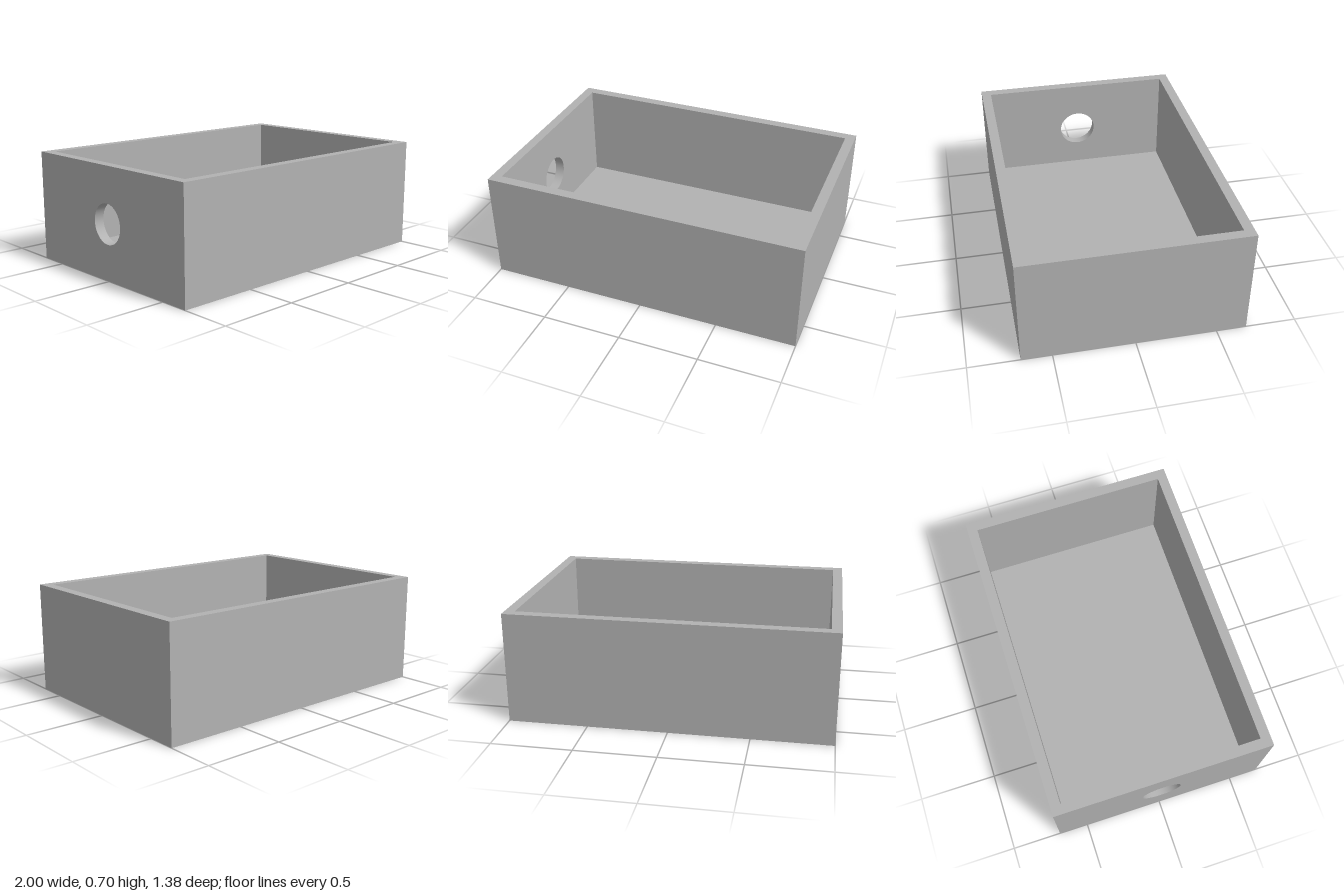
import * as THREE from 'three';

const W = 2, D = 1.375, H = 0.7;   // outer size
const T = 0.0625;                  // wall and floor thickness
const HOLE_R = 0.125, HOLE_Y = H / 2;

const grey = new THREE.MeshStandardMaterial({ color: 0xb2b2b2 });
grey.name = 'grey';

function mesh(name, geometry) {
  const m = new THREE.Mesh(geometry, grey);
  m.name = name;
  return m;
}

function rectangle(Type, w, y0, y1) {
  return new Type([
    new THREE.Vector2(-w / 2, y0), new THREE.Vector2(w / 2, y0),
    new THREE.Vector2(w / 2, y1), new THREE.Vector2(-w / 2, y1),
  ]);
}

// Flat face towards +z, with an optional round hole
function face(w, y0, y1, hole) {
  const shape = rectangle(THREE.Shape, w, y0, y1);
  if (hole) shape.holes.push(new THREE.Path().absarc(0, HOLE_Y, HOLE_R, 0, Math.PI * 2, true));
  return new THREE.ShapeGeometry(shape, 24);
}

// One side wall: outer face, inner face and, if pierced, the lining of the hole
function wall(name, angle, span, dist, hole = false) {
  const group = new THREE.Group();
  group.name = name;
  group.add(
    mesh(name + 'Outside', face(span, 0, H, hole).translate(0, 0, dist)),
    mesh(name + 'Inside', face(span - 2 * T, T, H, hole).rotateY(Math.PI).translate(0, 0, dist - T)),
  );
  if (hole) {
    // Profile runs downwards so the lining faces its own axis
    const profile = [new THREE.Vector2(HOLE_R, T / 2), new THREE.Vector2(HOLE_R, -T / 2)];
    const lining = new THREE.LatheGeometry(profile, 48);
    group.add(mesh('holeLining', lining.rotateX(Math.PI / 2).translate(0, HOLE_Y, dist - T / 2)));
  }
  group.rotation.y = angle;
  return group;
}

export function createModel() {
  const box = new THREE.Group();
  box.name = 'openBox';

  box.add(
    wall('frontWall', 0, W, D / 2),
    wall('backWall', Math.PI, W, D / 2),
    wall('leftWall', Math.PI / 2, D, W / 2),
    wall('rightWall', -Math.PI / 2, D, W / 2, true),
  );

  // Rim around the open top
  const rim = rectangle(THREE.Shape, W, -D / 2, D / 2);
  rim.holes.push(rectangle(THREE.Path, W - 2 * T, -D / 2 + T, D / 2 - T));
  box.add(mesh('rim', new THREE.ShapeGeometry(rim).rotateX(-Math.PI / 2).translate(0, H, 0)));

  // Floor, seen from inside and from below
  const floor = new THREE.PlaneGeometry(W - 2 * T, D - 2 * T).rotateX(-Math.PI / 2).translate(0, T, 0);
  box.add(mesh('floorInside', floor));
  box.add(mesh('underside', new THREE.PlaneGeometry(W, D).rotateX(Math.PI / 2)));

  return box;
}
